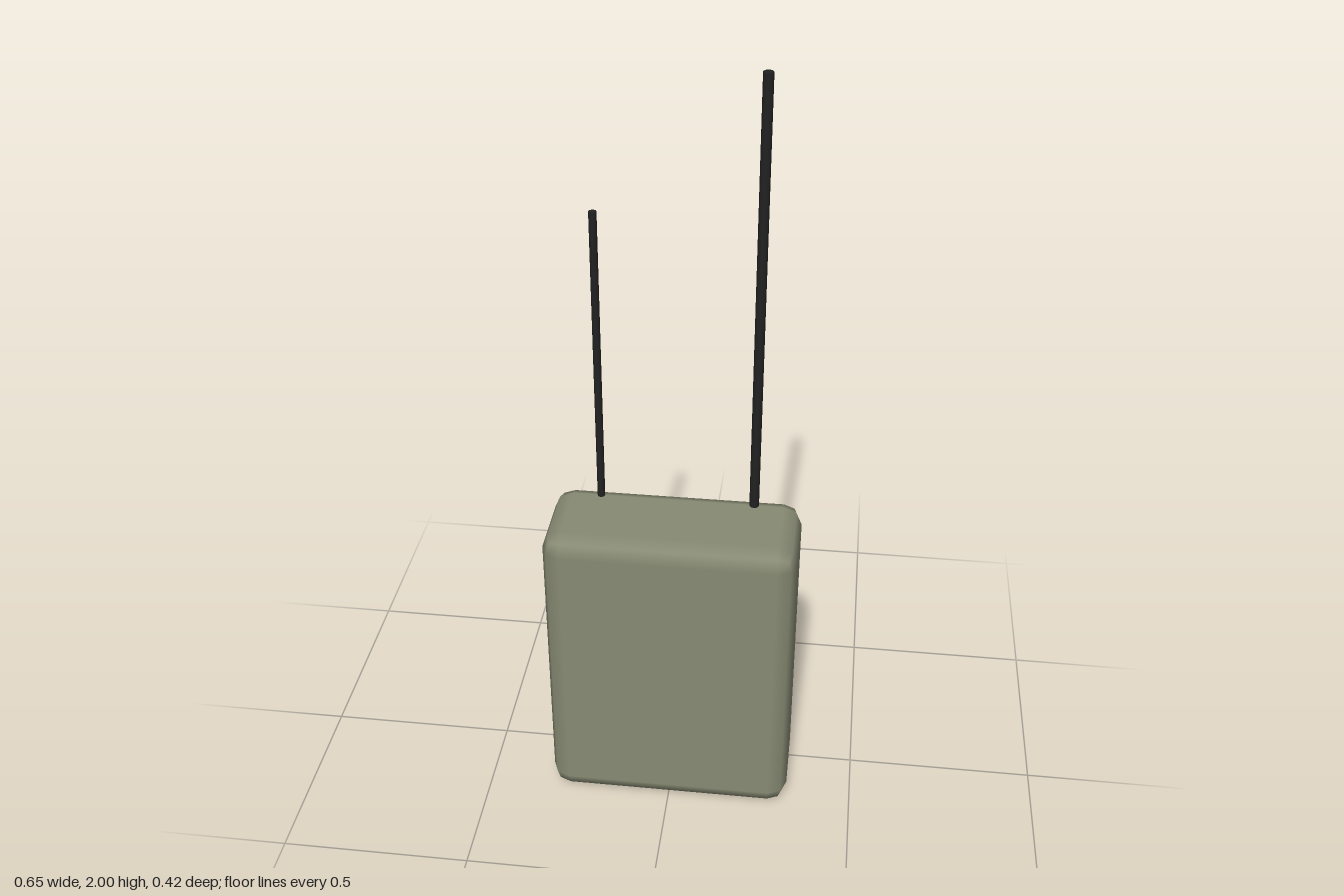
import * as THREE from 'three';
import { RoundedBoxGeometry } from 'three/addons/geometries/RoundedBoxGeometry.js';

const flat = (name, color) => {
  const material = new THREE.MeshStandardMaterial({ color });
  material.name = name;
  return material;
};

export function createModel() {
  const group = new THREE.Group();
  group.name = 'radioBackpack';

  const olive = flat('olive shell', 0x878a73);
  const charcoal = flat('charcoal plastic', 0x333333);
  const black = flat('black rubber', 0x222222);
  const grey = flat('grey vent', 0x888888);

  const add = (name, geometry, material, x, y, z) => {
    const mesh = new THREE.Mesh(geometry, material);
    mesh.name = name;
    mesh.position.set(x, y, z);
    group.add(mesh);
  };

  // Main shell and the module sunk slightly into its back
  add('body', new RoundedBoxGeometry(0.65, 0.85, 0.275, 1, 0.05), olive, 0, 0.425, 0.0705);
  add('backModule', new RoundedBoxGeometry(0.4, 0.5, 0.15, 1, 0.03), charcoal, 0, 0.478, -0.1295);

  // Horizontal vent bars on the back module
  for (let i = 0; i < 4; i++) {
    add(`ventBar${i + 1}`, new THREE.BoxGeometry(0.3, 0.03, 0.02), grey, 0, 0.328 + i * 0.075, -0.2015);
  }

  // Antennas: the left one is longer and thicker
  const antenna = (name, x, radius, top) => {
    const bottom = 0.8;
    add(name, new THREE.CylinderGeometry(radius, radius, top - bottom, 8), black, x, (top + bottom) / 2, -0.017);
  };
  antenna('leftAntenna', 0.2, 0.0125, 2);
  antenna('rightAntenna', -0.2, 0.01, 1.65);

  return group;
}
